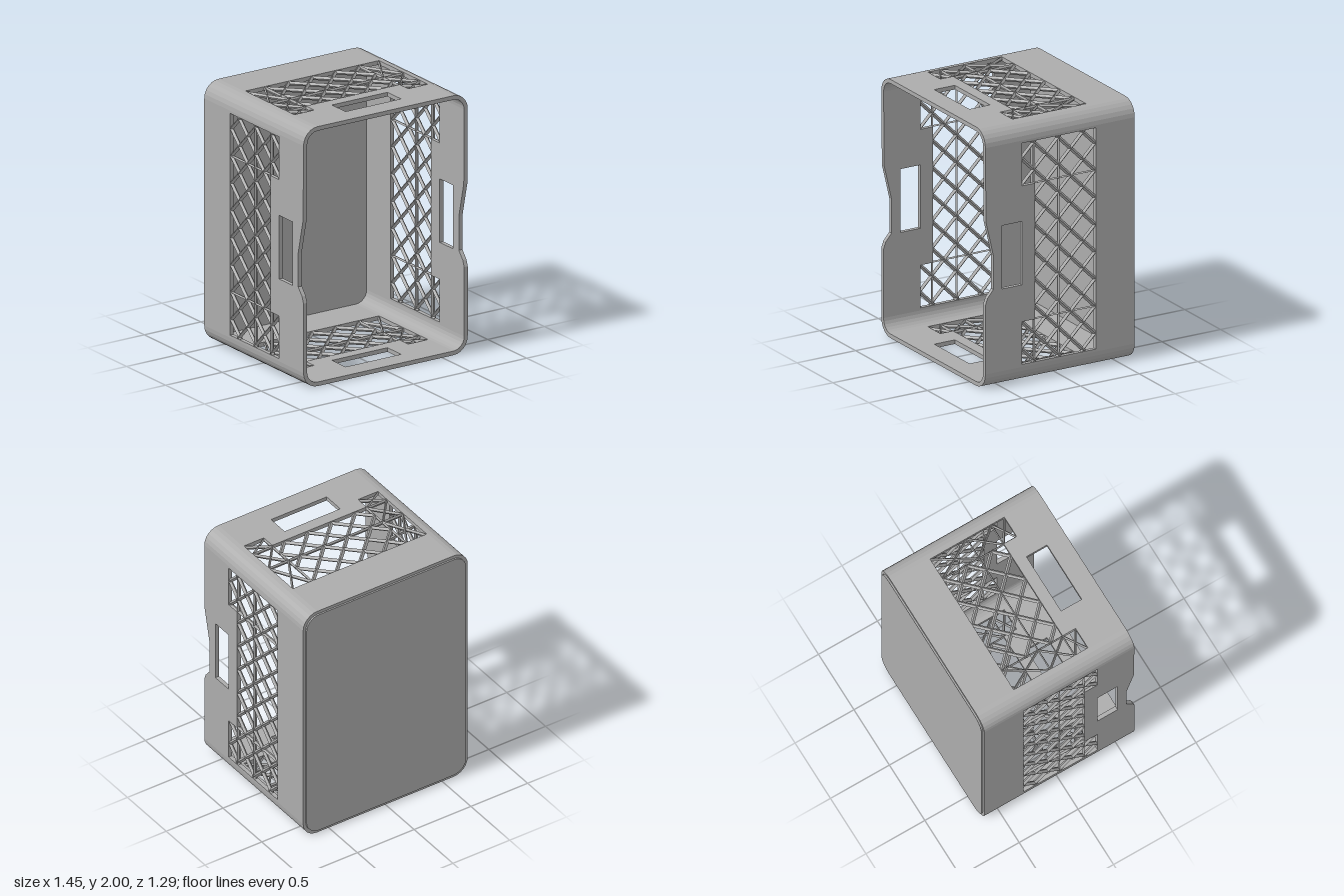
import * as THREE from 'three';
import { mergeGeometries } from 'three/addons/utils/BufferGeometryUtils.js';

const W = 0.725, H = 1, R = 0.125, T = 0.032;   // half width, half height, corner radius, wall thickness
const BACK = -0.63, FRONT = 0.643;              // z range of the walls
const V0 = -0.3, V1 = 0.22, V2 = 0.33;          // lattice window: back, front, front of the end bays

const V = (pts) => pts.map(([x, y]) => new THREE.Vector2(x, y));

// Bar with a diamond section between two points of a wall plane
function bar(a, b, r) {
  const dx = b[0] - a[0], dy = b[1] - a[1];
  const g = new THREE.CylinderGeometry(r, r, Math.hypot(dx, dy), 4).toNonIndexed();
  g.scale(1, 1, (T / 2) / r);
  g.computeVertexNormals();
  g.rotateZ(Math.atan2(dy, dx) - Math.PI / 2);
  g.translate((a[0] + b[0]) / 2, (a[1] + b[1]) / 2, T / 2);
  return g;
}

// 45 degree diagonals clipped to a rectangle
function diagonals(u0, u1, v0, v1, anchor, pitch) {
  const out = [];
  for (const s of [1, -1]) {
    for (let k = -16; k <= 16; k++) {
      const c = anchor + s * V0 + k * pitch;
      const lo = Math.max(v0, s > 0 ? c - u1 : u0 - c);
      const hi = Math.min(v1, s > 0 ? c - u0 : u1 - c);
      if (hi - lo > 0.02) out.push(bar([c - s * lo, lo], [c - s * hi, hi], 0.015));
    }
  }
  return out;
}

// Plate with a lattice window and a hand hole; u runs along the wall, v is z
function plateGeometry(half, a, b, handle, dip) {
  const shape = new THREE.Shape(V([[-half, BACK], [half, BACK], [half, FRONT], ...dip, [-half, FRONT]]));
  shape.holes.push(new THREE.Path(V([
    [-a, V0], [-a, V2], [-b, V2], [-b, V1], [b, V1], [b, V2], [a, V2], [a, V0]])));
  const [h0, h1, g0, g1] = handle;
  shape.holes.push(new THREE.Path(V([[h0, g0], [h0, g1], [h1, g1], [h1, g0]])));
  return new THREE.ExtrudeGeometry(shape, { depth: T, bevelEnabled: false });
}

function latticeGeometry(a, b, crossedEnds, pitch) {
  const parts = diagonals(-b, b, V0, V1, b, pitch);
  for (const s of [-1, 1]) {
    const u0 = Math.min(s * a, s * b), u1 = Math.max(s * a, s * b);
    if (crossedEnds) {
      // one cross in each cell of the end bay
      const rows = [V0, 0.01, V1, V2];
      for (let i = 0; i < 3; i++) {
        parts.push(bar([u0, rows[i]], [u1, rows[i + 1]], 0.009), bar([u1, rows[i]], [u0, rows[i + 1]], 0.009));
      }
    } else {
      parts.push(...diagonals(u0, u1, V0, V2, b, pitch));
    }
    parts.push(bar([s * b, V0], [s * b, V2], 0.007));
    parts.push(bar([u0, V1], [u1, V1], 0.006));
  }
  parts.push(bar([-a, 0.012], [a, 0.012], 0.006));
  return mergeGeometries(parts);
}

function roundedRect(w, h, r) {
  const s = new THREE.Shape();
  s.absarc(w - r, h - r, r, 0, Math.PI / 2);
  s.absarc(r - w, h - r, r, Math.PI / 2, Math.PI);
  s.absarc(r - w, r - h, r, Math.PI, Math.PI * 1.5);
  s.absarc(w - r, r - h, r, Math.PI * 1.5, Math.PI * 2);
  return s;
}

export function createModel() {
  const crate = new THREE.Group();
  crate.name = 'crate';
  const grey = new THREE.MeshStandardMaterial({ color: 0xacacac });
  grey.name = 'grey plastic';

  const add = (parent, name, geometry) => {
    const m = new THREE.Mesh(geometry, grey);
    m.name = name;
    parent.add(m);
    return m;
  };

  // Long side walls have a dipped front rim at the hand hole
  const dip = [[0.3, 0.638], [0.14, 0.6], [0.03, 0.575], [-0.23, 0.575], [-0.29, 0.625], [-0.34, FRONT]];
  const sidePlate = plateGeometry(H - R, 0.855, 0.525, [-0.24, 0.25, 0.33, 0.5], dip);
  const sideLattice = latticeGeometry(0.855, 0.525, false, 0.21);
  const endPlate = plateGeometry(W - R, 0.59, 0.415, [-0.245, 0.245, 0.31, 0.485], []);
  const endLattice = latticeGeometry(0.59, 0.415, true, 0.2075);

  const X = new THREE.Vector3(1, 0, 0), Y = new THREE.Vector3(0, 1, 0), Z = new THREE.Vector3(0, 0, 1);
  const sideTurn = new THREE.Matrix4().makeBasis(Y, Z, X);
  const endTurn = new THREE.Matrix4().makeBasis(X, Z, Y.clone().negate());

  const walls = [
    ['left', sideTurn, [W - T, H, 0], sidePlate, sideLattice],
    ['right', sideTurn, [-W, H, 0], sidePlate, sideLattice],
    ['top', endTurn, [0, 2 * H, 0], endPlate, endLattice],
    ['bottom', endTurn, [0, T, 0], endPlate, endLattice],
  ];
  for (const [name, turn, pos, plate, lattice] of walls) {
    const wall = new THREE.Group();
    wall.name = name + 'Wall';
    wall.quaternion.setFromRotationMatrix(turn);
    wall.position.set(...pos);
    add(wall, name + 'Plate', plate);
    add(wall, name + 'Lattice', lattice);
    crate.add(wall);
  }

  // Rounded corner posts
  const arc = new THREE.Shape();
  arc.absarc(0, 0, R, 0, Math.PI / 2, false);
  arc.absarc(0, 0, R - T, Math.PI / 2, 0, true);
  const corner = new THREE.ExtrudeGeometry(arc, { depth: FRONT - BACK, bevelEnabled: false, curveSegments: 3 });
  [[1, 1], [-1, 1], [-1, -1], [1, -1]].forEach(([sx, sy], i) => {
    const m = add(crate, 'cornerPost', corner);
    m.rotation.z = i * Math.PI / 2;
    m.position.set(sx * (W - R), H + sy * (H - R), BACK);
  });

  // Closed back panel, standing slightly proud of the walls
  const panel = add(crate, 'backPanel', new THREE.ExtrudeGeometry(roundedRect(0.703, 0.975, 0.11),
    { depth: 0.035, bevelEnabled: false, curveSegments: 3 }));
  panel.position.set(0, H, -0.643);

  return crate;
}
